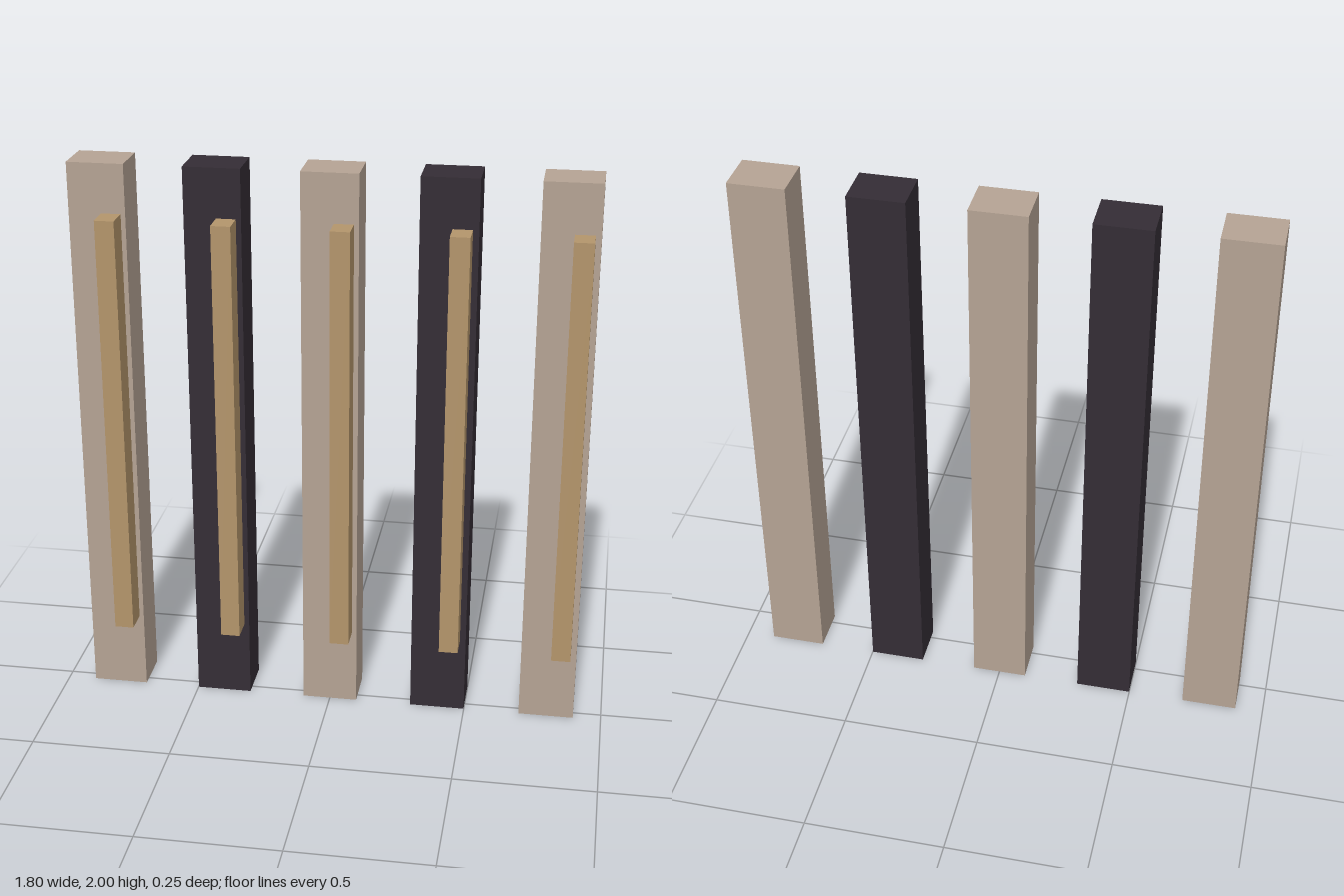
import * as THREE from 'three';

export function createModel() {
  const group = new THREE.Group();
  const material = (name, color) => {
    const m = new THREE.MeshStandardMaterial({ color });
    m.name = name;
    return m;
  };
  const beige = material('beige', 0xb5a394);
  const charcoal = material('charcoal', 0x342d35);
  const tan = material('tan', 0xb3956b);

  // Box given by its centre x, width, and y and z ranges
  const addBox = (name, mat, x, width, [y0, y1], [z0, z1]) => {
    const mesh = new THREE.Mesh(new THREE.BoxGeometry(width, y1 - y0, z1 - z0), mat);
    mesh.name = name;
    mesh.position.set(x, (y0 + y1) / 2, (z0 + z1) / 2);
    group.add(mesh);
  };

  // Five posts in alternating colours, each with an off-centre front strip
  const stripX = [-0.751, -0.353, 0.048, 0.444, 0.845];
  stripX.forEach((sx, i) => {
    addBox(`post${i + 1}`, i % 2 ? charcoal : beige, (i - 2) * 0.4, 0.198, [0, 2], [-0.125, 0.035]);
    addBox(`strip${i + 1}`, tan, sx, 0.068, [0.283, 1.826], [0.035, 0.125]);
  });

  return group;
}
